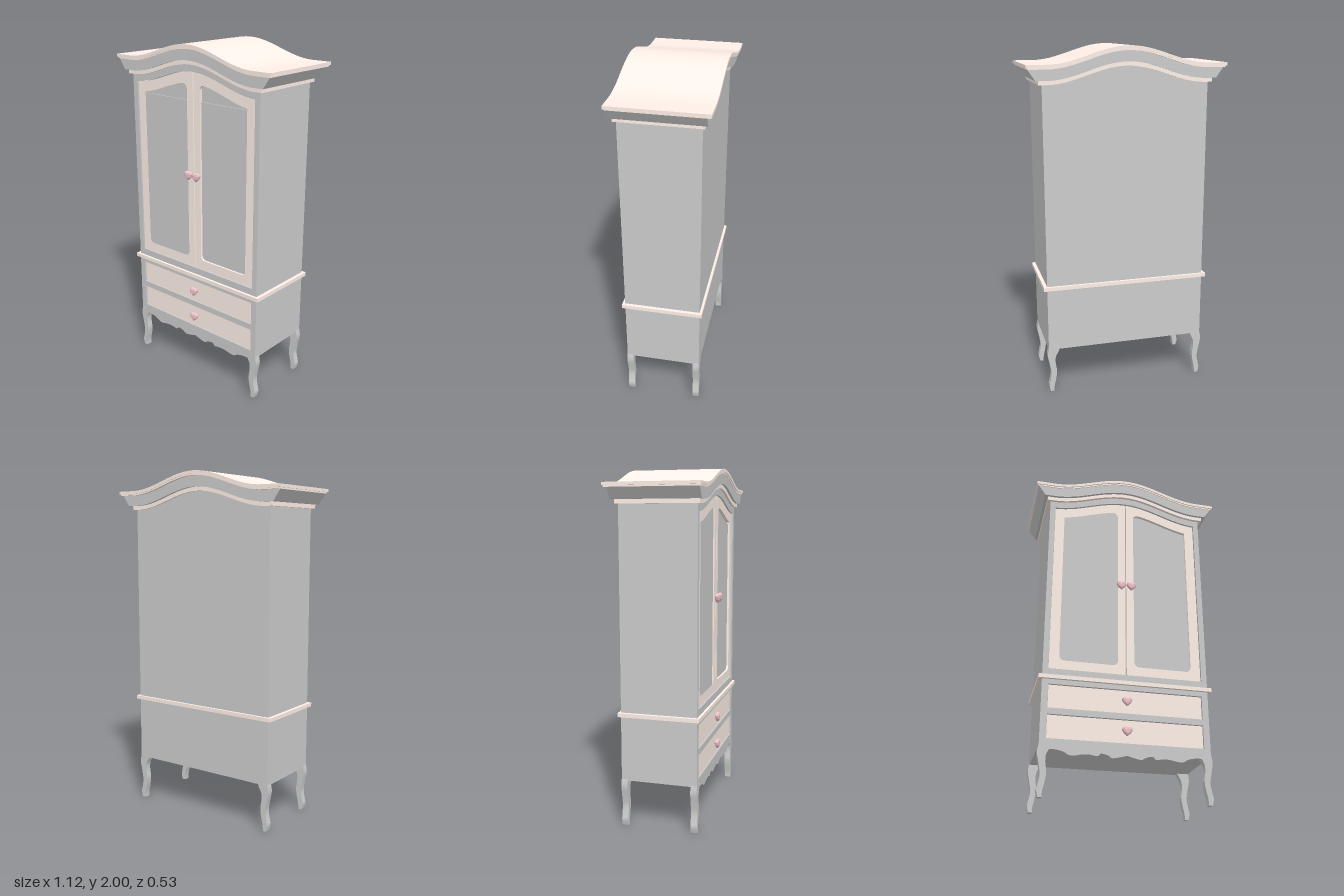
import * as THREE from 'three';
import { toCreasedNormals } from 'three/addons/utils/BufferGeometryUtils.js';

const grey = new THREE.MeshStandardMaterial({ color: 0xcccccc });
const cream = new THREE.MeshStandardMaterial({ color: 0xfff0e8 });
const pink = new THREE.MeshStandardMaterial({ color: 0xf2c4cc });

const FRONT = 0.228, CORE = 0.2, BACK = -0.208;
const V = (x, y) => new THREE.Vector2(x, y);

// Height of the bonnet arch above its flat shoulders
const rise = (x) => Math.abs(x) > 0.45 ? 0 : 0.0475 * (1 + Math.cos(Math.PI * x / 0.45));

// Points along the arch from x0 to x1
function arch(x0, x1, y, n = 48) {
  return Array.from({ length: n + 1 }, (_, i) => {
    const x = x0 + (x1 - x0) * i / n;
    return V(x, y + rise(x));
  });
}

function spline(points, n) {
  return new THREE.SplineCurve(points.map(([x, y]) => V(x, y))).getPoints(n);
}

// Outline extruded between two depths
function slab(name, points, z0, z1, material, holes = []) {
  const shape = new THREE.Shape(points);
  shape.holes = holes.map((h) => new THREE.Path(h));
  const geo = new THREE.ExtrudeGeometry(shape, { depth: z1 - z0, bevelEnabled: false });
  geo.translate(0, 0, z0);
  const mesh = new THREE.Mesh(toCreasedNormals(geo, 0.5), material);
  mesh.name = name;
  return mesh;
}

// Arched strip: half widths and heights at its lower and upper edges
function archedBand(name, w0, y0, w1, y1, z0, z1, material) {
  return slab(name, [...arch(-w0, w0, y0), ...arch(w1, -w1, y1)], z0, z1, material);
}

function box(name, x0, x1, y0, y1, z0, z1, material) {
  const mesh = new THREE.Mesh(new THREE.BoxGeometry(x1 - x0, y1 - y0, z1 - z0), material);
  mesh.position.set((x0 + x1) / 2, (y0 + y1) / 2, (z0 + z1) / 2);
  mesh.name = name;
  return mesh;
}

const rect = (w, y0, y1) => [V(-w, y0), V(w, y0), V(w, y1), V(-w, y1)];

// Puffed heart knob
function heart(name, x, y) {
  const s = new THREE.Shape();
  s.moveTo(0, -0.022);
  s.bezierCurveTo(0.008, -0.014, 0.025, -0.004, 0.024, 0.009);
  s.bezierCurveTo(0.023, 0.024, 0.004, 0.025, 0, 0.013);
  s.bezierCurveTo(-0.004, 0.025, -0.023, 0.024, -0.024, 0.009);
  s.bezierCurveTo(-0.025, -0.004, -0.008, -0.014, 0, -0.022);
  const geo = new THREE.ExtrudeGeometry(s, {
    depth: 0.004, bevelThickness: 0.011, bevelSize: 0.014, bevelOffset: -0.01,
    bevelSegments: 6, curveSegments: 10,
  });
  const mesh = new THREE.Mesh(toCreasedNormals(geo, 0.9), pink);
  mesh.position.set(x, y, 0.234);
  mesh.name = name;
  return mesh;
}

// Door opening: rounded lower corners and an arched top
function panelOutline(side) {
  const a = 0.048, b = 0.38, y0 = 0.757, r = 0.028;
  const corner = (cx, cy, start) => Array.from({ length: 7 }, (_, i) => {
    const t = start + Math.PI / 2 * i / 6;
    return V(cx + r * Math.cos(t), cy + r * Math.sin(t));
  });
  const points = [
    ...corner(a + r, y0 + r, Math.PI),
    ...corner(b - r, y0 + r, -Math.PI / 2),
    ...arch(b, a + r, 1.695, 24),
    ...corner(a + r, 1.695 + rise(a + r) - r, Math.PI / 2).slice(1),
  ];
  return points.map((p) => V(side * p.x, p.y));
}

export function createModel() {
  const model = new THREE.Group();
  model.name = 'wardrobe';

  // Carcass
  model.add(slab('carcass', [V(-0.47, 0.268), V(0.47, 0.268), ...arch(0.47, -0.47, 1.81)],
    BACK, CORE, grey));

  // Face frame with scalloped apron and openings for doors and drawers
  const half = spline([[0, 0.24], [0.04, 0.229], [0.08, 0.222], [0.1, 0.234], [0.14, 0.243],
    [0.16, 0.228], [0.2, 0.233], [0.24, 0.232], [0.28, 0.224], [0.31, 0.224],
    [0.34, 0.24], [0.38, 0.249], [0.42, 0.25]], 60);
  const apron = [...half.slice(1).reverse().map((p) => V(-p.x, p.y)), ...half];
  const drawers = [[0.307, 0.44], [0.475, 0.61]];
  const doorway = [V(-0.438, 0.7), V(0.438, 0.7), ...arch(0.438, -0.438, 1.757)];
  model.add(slab('faceFrame',
    [V(-0.47, 0.262), ...apron, V(0.47, 0.262), ...arch(0.47, -0.47, 1.81)],
    CORE, FRONT, grey, [doorway, ...drawers.map(([a, b]) => rect(0.434, a, b))]));

  // Doors
  for (const side of [1, -1]) {
    const door = new THREE.Group();
    door.name = side > 0 ? 'leftDoor' : 'rightDoor';
    const outline = [V(0.003, 0.702), V(0.436, 0.702), ...arch(0.436, 0.003, 1.755)]
      .map((p) => V(side * p.x, p.y));
    door.add(slab('doorFrame', outline, CORE, 0.219, cream, [panelOutline(side)]));
    door.add(box('doorPanel', side > 0 ? 0.03 : -0.4, side > 0 ? 0.4 : -0.03,
      0.74, 1.69, 0.195, 0.207, grey));
    door.add(heart('doorKnob', side * 0.03, 1.265));
    model.add(door);
  }

  // Drawers
  for (const [y0, y1] of drawers) {
    const drawer = new THREE.Group();
    drawer.name = 'drawer';
    drawer.add(box('drawerFront', -0.432, 0.432, y0 + 0.001, y1 - 0.002, 0.19, 0.219, cream));
    drawer.add(heart('drawerKnob', 0, (y0 + y1) / 2));
    model.add(drawer);
  }

  // Waist and upper mouldings
  model.add(box('waistMoulding', -0.49, 0.49, 0.638, 0.66, -0.222, 0.243, cream));
  model.add(archedBand('upperMoulding', 0.49, 1.797, 0.49, 1.82, -0.222, 0.243, cream));

  // Cornice: flared cove, fillet and cap
  model.add(archedBand('corniceCove', 0.507, 1.82, 0.548, 1.88, -0.24, 0.257, grey));
  model.add(archedBand('corniceFillet', 0.552, 1.88, 0.552, 1.888, -0.26, 0.261, cream));
  model.add(archedBand('corniceCap', 0.56, 1.888, 0.56, 1.905, -0.265, 0.267, cream));

  // Curved legs
  const outer = spline([[0.47, 0.275], [0.477, 0.23], [0.466, 0.17], [0.458, 0.115],
    [0.466, 0.065], [0.472, 0.035], [0.464, 0]], 24);
  const inner = spline([[0.443, 0], [0.441, 0.035], [0.43, 0.085], [0.425, 0.13],
    [0.432, 0.18], [0.43, 0.22], [0.415, 0.25], [0.405, 0.275]], 24);
  for (const side of [1, -1]) {
    const points = [...outer, ...inner].map((p) => V(side * p.x, p.y));
    model.add(slab('frontLeg', points, 0.192, FRONT + 0.001, grey));
    model.add(slab('backLeg', points, BACK - 0.001, -0.172, grey));
  }

  return model;
}
